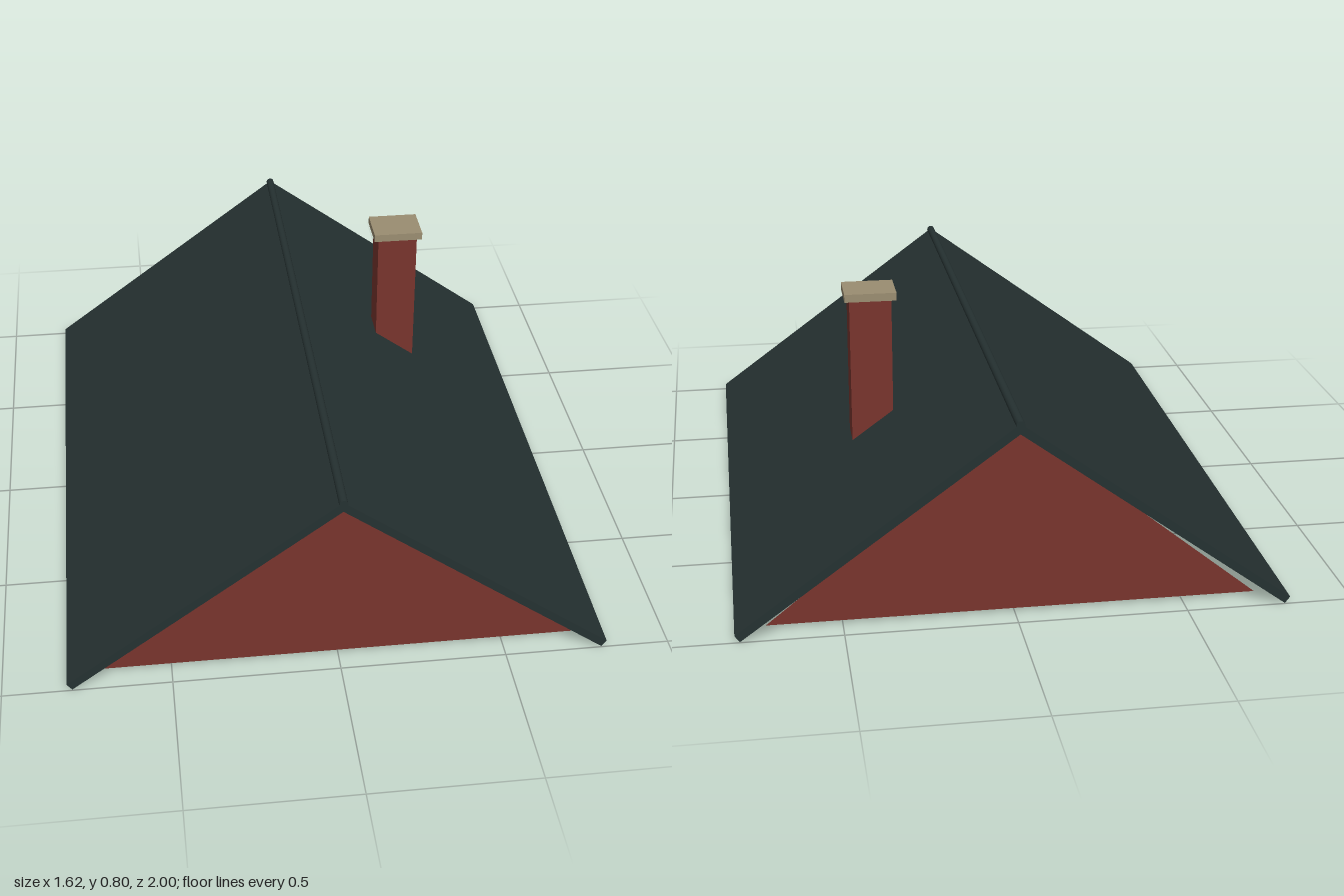
import * as THREE from 'three';

const mat = (name, color, side = THREE.FrontSide) => {
  const m = new THREE.MeshStandardMaterial({ color, side });
  m.name = name;
  return m;
};

export function createModel() {
  const roof = new THREE.Group();
  roof.name = 'gableRoof';
  const slate = mat('dark slate', 0x253131);
  const brick = mat('red brick', 0x78342d, THREE.DoubleSide);
  const stone = mat('pale stone', 0x9a8d71);

  const add = (name, geometry, material, x, y, z) => {
    const mesh = new THREE.Mesh(geometry, material);
    mesh.name = name;
    mesh.position.set(x, y, z);
    roof.add(mesh);
    return mesh;
  };

  // Two thin sloping slabs that meet under the ridge
  const apex = 0.6, eaveX = 0.802, eaveY = 0.01, thickness = 0.025;
  const run = Math.hypot(eaveX, apex - eaveY);
  const pitch = Math.atan2(apex - eaveY, eaveX);
  for (const s of [1, -1]) {
    const slab = add(s > 0 ? 'leftRoofSlope' : 'rightRoofSlope',
      new THREE.BoxGeometry(run, thickness, 1.994), slate, s * eaveX / 2, (apex + eaveY) / 2, 0);
    slab.rotation.z = -s * pitch;
  }

  // Round ridge pole
  const pole = new THREE.CylinderGeometry(0.013, 0.013, 2, 12).rotateX(Math.PI / 2);
  add('ridgeCap', pole, slate, 0, 0.612, 0);

  // Flat gable walls, set back from the roof ends
  const triangle = new THREE.Shape([
    new THREE.Vector2(-0.72, 0.01), new THREE.Vector2(0.72, 0.01), new THREE.Vector2(0, 0.593),
  ]);
  for (const s of [1, -1]) {
    const gable = add(s > 0 ? 'frontGable' : 'backGable',
      new THREE.ShapeGeometry(triangle), brick, 0, 0, s * 0.93);
    if (s < 0) gable.rotation.y = Math.PI;
  }

  // Chimney running down through the roof, with its capstone
  add('chimneyStack', new THREE.BoxGeometry(0.13, 0.76, 0.107), brick, 0.35, 0.39, -0.268);
  add('chimneyCap', new THREE.BoxGeometry(0.16, 0.025, 0.134), stone, 0.35, 0.7825, -0.268);

  return roof;
}
